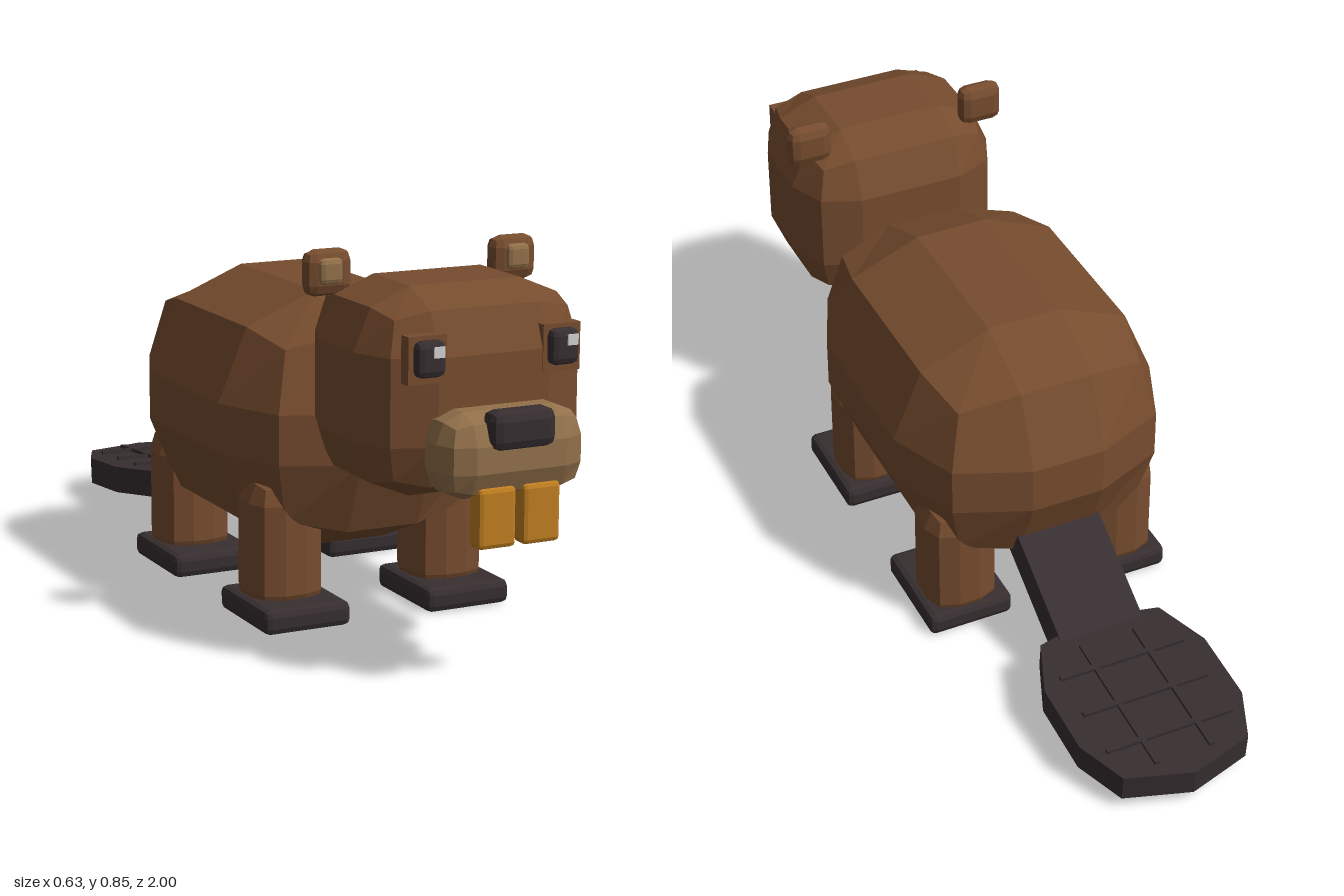
import * as THREE from 'three';

const mat = (name, color) => {
  const m = new THREE.MeshStandardMaterial({ color, flatShading: true });
  m.name = name;
  return m;
};

// Box with two-step bevelled edges: one flat panel per side, arcs of radius r between
function bevelBox(w, h, d, r) {
  const g = new THREE.BoxGeometry(1, 1, 1, 3, 3, 3);
  const p = g.attributes.position;
  const half = new THREE.Vector3(w / 2, h / 2, d / 2).subScalar(r);
  const v = new THREE.Vector3();
  const snap = (t) => (Math.abs(t) > 0.4 ? Math.sign(t) : 0);
  for (let i = 0; i < p.count; i++) {
    v.fromBufferAttribute(p, i);
    const n = new THREE.Vector3(snap(v.x), snap(v.y), snap(v.z)).normalize().multiplyScalar(r);
    p.setXYZ(i, Math.sign(v.x) * half.x + n.x, Math.sign(v.y) * half.y + n.y, Math.sign(v.z) * half.z + n.z);
  }
  g.computeVertexNormals();
  return g;
}

export function createModel() {
  const model = new THREE.Group();
  model.name = 'beaver';
  const fur = mat('brownFur', 0x764c2e);
  const dark = mat('darkSkin', 0x372e30);
  const tan = mat('tanFur', 0x92704a);
  const tooth = mat('orangeTeeth', 0xbf7d20);
  const white = mat('eyeGlint', 0xd0d0d0);

  const add = (name, geo, material, x, y, z, parent = model) => {
    const m = new THREE.Mesh(geo, material);
    m.name = name;
    m.position.set(x, y, z);
    parent.add(m);
    return m;
  };

  // Body and head
  add('body', bevelBox(0.63, 0.57, 0.845, 0.23), fur, 0, 0.415, 0.0375);
  add('head', bevelBox(0.5, 0.43, 0.41, 0.125), fur, 0, 0.58, 0.665);

  // Muzzle and nose
  add('muzzle', bevelBox(0.322, 0.175, 0.155, 0.06), tan, 0, 0.484, 0.907);
  add('nose', bevelBox(0.144, 0.08, 0.06, 0.02), dark, 0, 0.54, 0.97);

  for (const s of [1, -1]) {
    const side = s > 0 ? 'left' : 'right';

    // Face
    add(side + 'Tooth', bevelBox(0.085, 0.124, 0.044, 0.01), tooth, s * 0.05, 0.364, 0.958);
    add(side + 'EyePatch', new THREE.BoxGeometry(0.085, 0.097, 0.03), fur, s * 0.152, 0.67, 0.857);
    add(side + 'Eye', bevelBox(0.065, 0.074, 0.035, 0.014), dark, s * 0.151, 0.673, 0.877);
    add(side + 'EyeGlint', new THREE.BoxGeometry(0.024, 0.022, 0.006), white, s * 0.151 + 0.013, 0.688, 0.894);

    // Ears
    add(side + 'Ear', bevelBox(0.106, 0.097, 0.05, 0.024), fur, s * 0.216, 0.8, 0.553);
    add(side + 'InnerEar', bevelBox(0.054, 0.054, 0.024, 0.011), tan, s * 0.218, 0.805, 0.576);

    // Legs and feet
    for (const [end, legZ, footZ] of [['Front', 0.285, 0.31], ['Back', -0.21, -0.18]]) {
      add(side + end + 'Leg', bevelBox(0.17, 0.318, 0.17, 0.06), fur, s * 0.196, 0.163, legZ);
      add(side + end + 'Foot', bevelBox(0.203, 0.054, 0.248, 0.015), dark, s * 0.195, 0.027, footZ);
    }
  }

  // Tail root slopes down and back
  const root = add('tailRoot', new THREE.BoxGeometry(0.2, 0.08, 0.36), dark, 0, 0.17, -0.408);
  root.rotation.x = -0.53;

  // Paddle, laid flat with its outline in x and backward z
  const paddle = new THREE.Group();
  paddle.name = 'tailPaddle';
  paddle.position.set(0, 0.077, -0.767);
  paddle.rotation.x = -0.085;
  model.add(paddle);
  const half = [[0.08, -0.232], [0.145, -0.218], [0.195, -0.095], [0.195, 0.075], [0.148, 0.188]];
  const outline = [...half, [0, 0.232], ...half.map(([x, y]) => [-x, y]).reverse()];
  const shape = new THREE.Shape(outline.map(([x, y]) => new THREE.Vector2(x, y)));
  const slab = new THREE.ExtrudeGeometry(shape, { depth: 0.064, bevelEnabled: false });
  slab.rotateX(-Math.PI / 2);
  add('paddleSlab', slab, dark, 0, -0.032, 0, paddle);

  // Raised lattice on the paddle
  for (const x of [-0.065, 0.065]) {
    add('lengthRidge', new THREE.BoxGeometry(0.012, 0.01, 0.36), dark, x, 0.035, 0, paddle);
  }
  for (const z of [-0.11, 0, 0.11]) {
    add('crossRidge', new THREE.BoxGeometry(0.3, 0.01, 0.012), dark, 0, 0.035, z, paddle);
  }
  return model;
}
